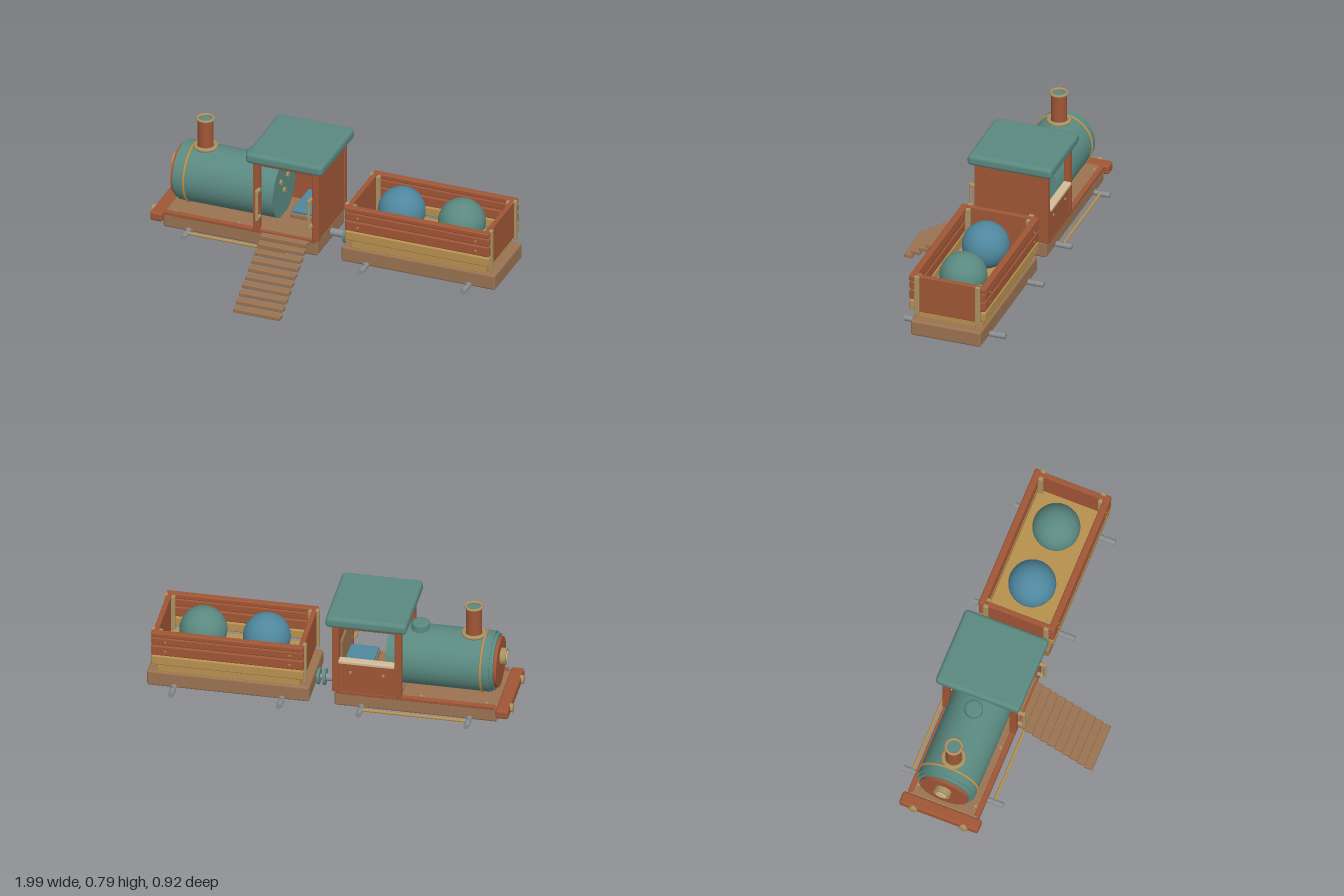
import * as THREE from 'three';
import { RoundedBoxGeometry } from 'three/addons/geometries/RoundedBoxGeometry.js';

const mat = (name, color) => {
  const m = new THREE.MeshStandardMaterial({ color });
  m.name = name;
  return m;
};

export function createModel() {
  const red = mat('red wood', 0xa05636);
  const teal = mat('teal paint', 0x5a8980);
  const brown = mat('brown wood', 0x9a7352);
  const gold = mat('yellow wood', 0xb8904f);
  const brass = mat('brass', 0xaa9262);
  const grey = mat('grey metal', 0x8a8e90);
  const blue = mat('blue paint', 0x4f879e);
  const cream = mat('cream wood', 0xd2bd9a);

  const Z = -0.17; // centre line of the train
  const model = new THREE.Group();
  model.name = 'toyTrain';
  const engine = new THREE.Group();
  engine.name = 'engine';
  const wagon = new THREE.Group();
  wagon.name = 'wagon';
  model.add(engine, wagon);

  const add = (parent, name, geo, material, x = 0, y = 0, z = 0) => {
    const m = new THREE.Mesh(geo, material);
    m.name = name;
    m.position.set(x, y, z);
    parent.add(m);
    return m;
  };
  // Rounded box given by its limits on each axis
  const box = (p, name, m, x0, x1, y0, y1, z0, z1, r = 0.005) =>
    add(p, name, new RoundedBoxGeometry(x1 - x0, y1 - y0, z1 - z0, 2, r), m,
      (x0 + x1) / 2, (y0 + y1) / 2, (z0 + z1) / 2);
  // Cylinder along an axis, centred at x, y, z
  const rod = (p, name, m, axis, r, len, x, y, z, seg = 32) => {
    const g = new THREE.CylinderGeometry(r, r, len, seg);
    if (axis === 'x') g.rotateZ(-Math.PI / 2);
    if (axis === 'z') g.rotateX(Math.PI / 2);
    return add(p, name, g, m, x, y, z);
  };
  // Solid of revolution from [radius, height] points
  const lathe = (pts) => new THREE.LatheGeometry(pts.map(([r, h]) => new THREE.Vector2(r, h)), 40);

  // Engine deck with side strips and front buffer
  box(engine, 'deck', brown, -0.92, -0.03, 0.187, 0.278, Z - 0.2, Z + 0.2, 0.012);
  for (const s of [-1, 1]) {
    box(engine, 'deckStrip', red, -0.91, -0.04, 0.265, 0.285, Z + s * 0.192 - 0.014, Z + s * 0.192 + 0.014, 0.004);
    rod(engine, 'bufferKnob', brass, 'x', 0.024, 0.025, -0.987, 0.255, Z + s * 0.145, 20);
    for (const x of [-0.86, -0.5]) rod(engine, 'deckScrew', brass, 'y', 0.008, 0.006, x, 0.28, Z + s * 0.165, 12);
  }
  box(engine, 'buffer', red, -0.987, -0.915, 0.226, 0.28, Z - 0.228, Z + 0.228, 0.014);

  // Boiler
  const by = 0.447;
  const boiler = add(engine, 'boiler', new THREE.CylinderGeometry(0.165, 0.165, 0.565, 48), teal, -0.585, by, Z - 0.003);
  boiler.rotation.z = Math.PI / 2;
  rod(engine, 'boilerRim', teal, 'x', 0.155, 0.02, -0.876, by, Z - 0.003, 48);
  rod(engine, 'boilerDoor', red, 'x', 0.139, 0.035, -0.886, by, Z - 0.003, 48);
  const band = add(engine, 'boilerBand', new THREE.TorusGeometry(0.165, 0.007, 8, 48), gold, -0.82, by, Z - 0.003);
  band.rotation.y = Math.PI / 2;
  rod(engine, 'lampBase', brass, 'x', 0.046, 0.035, -0.918, 0.485, Z - 0.003);
  rod(engine, 'lamp', cream, 'x', 0.03, 0.006, -0.937, 0.485, Z - 0.003);
  for (const [dy, dz] of [[0.06, 0.05], [0.06, -0.05], [-0.01, 0]])
    rod(engine, 'gauge', brass, 'x', 0.016, 0.012, -0.298, by + dy, Z + dz, 16);

  // Chimney and steam dome
  rod(engine, 'chimney', red, 'y', 0.043, 0.19, -0.755, 0.68, Z - 0.003);
  const ring = (name, r, t, y) => {
    const m = add(engine, name, new THREE.TorusGeometry(r, t, 10, 36), brass, -0.755, y, Z - 0.003);
    m.rotation.x = Math.PI / 2;
  };
  ring('chimneyRim', 0.043, 0.008, 0.781);
  ring('chimneyBase', 0.056, 0.012, 0.614);
  rod(engine, 'chimneyMouth', teal, 'y', 0.036, 0.004, -0.755, 0.775, Z - 0.003);
  add(engine, 'steamDome', lathe([[0.05, 0], [0.05, 0.045], [0.045, 0.053], [0.035, 0.055], [0, 0.055]]), teal, -0.465, 0.595, Z - 0.003);

  // Cab
  const cab = new THREE.Group();
  cab.name = 'cab';
  engine.add(cab);
  box(cab, 'floor', brown, -0.395, -0.03, 0.275, 0.292, Z - 0.195, Z + 0.195);
  for (const s of [-1, 1]) {
    for (const x of [-0.38, -0.038])
      box(cab, 'cornerPost', red, x - 0.019, x + 0.019, 0.28, 0.705, Z + s * 0.193 - 0.018, Z + s * 0.193 + 0.018);
    box(cab, 'header', red, -0.395, -0.025, 0.675, 0.705, Z + s * 0.19 - 0.014, Z + s * 0.19 + 0.014);
  }
  box(cab, 'frontHeader', red, -0.395, -0.365, 0.675, 0.705, Z - 0.19, Z + 0.19);
  box(cab, 'backWall', red, -0.05, -0.024, 0.28, 0.705, Z - 0.2, Z + 0.2);
  box(cab, 'sideWall', red, -0.395, -0.025, 0.28, 0.468, Z - 0.205, Z - 0.185);
  box(cab, 'windowSill', cream, -0.362, -0.056, 0.464, 0.484, Z - 0.22, Z - 0.175);
  box(cab, 'roof', teal, -0.432, 0.013, 0.697, 0.76, Z - 0.242, Z + 0.242, 0.022);
  for (const x of [-0.3, -0.12]) rod(cab, 'wallScrew', brass, 'z', 0.008, 0.008, x, 0.41, Z - 0.206, 12);
  box(cab, 'seat', brown, -0.22, -0.052, 0.345, 0.372, Z - 0.15, Z + 0.12);
  box(cab, 'cushion', blue, -0.215, -0.06, 0.37, 0.392, Z - 0.14, Z + 0.11, 0.008);
  box(cab, 'backrest', brown, -0.064, -0.05, 0.4, 0.56, Z - 0.14, Z + 0.11);

  // Grab handles beside the doorway
  for (const x of [-0.362, -0.062]) {
    rod(cab, 'grabHandle', brass, 'y', 0.009, 0.18, x, 0.455, 0.076, 14);
    for (const y of [0.372, 0.535]) box(cab, 'handleBracket', brass, x - 0.01, x + 0.01, y - 0.01, y + 0.01, 0.03, 0.082, 0.006);
  }

  // Stairs down to the ground
  for (let i = 0; i < 10; i++) {
    const z = 0.439 - i * 0.0432, y = 0.0145 + i * 0.0275;
    box(engine, 'step', brown, -0.345, -0.075, y - 0.0115, y + 0.0115, z - 0.024, z + 0.024, 0.004);
  }

  // Axles with pins, joined by rods on the engine
  for (const [p, x] of [[engine, -0.77], [engine, -0.18], [wagon, 0.255], [wagon, 0.845]]) {
    rod(p, 'axle', grey, 'z', 0.0155, 0.58, x, 0.196, Z, 20);
    for (const s of [-1, 1]) rod(p, 'axlePin', grey, 'y', 0.006, 0.046, x, 0.198, Z + s * 0.236, 10);
  }
  for (const s of [-1, 1]) rod(engine, 'couplingRod', gold, 'x', 0.008, 0.61, -0.475, 0.198, Z + s * 0.236, 12);

  // Coupling
  rod(model, 'drawbar', grey, 'x', 0.021, 0.1, 0.01, 0.235, Z - 0.003, 20);
  rod(model, 'link', grey, 'x', 0.014, 0.1, 0.075, 0.235, Z - 0.003, 20);
  for (const x of [0.058, 0.091]) rod(model, 'couplingDisc', teal, 'x', 0.045, 0.014, x, 0.235, Z - 0.003, 28);

  // Wagon base and floor
  box(wagon, 'base', brown, 0.107, 0.995, 0.187, 0.278, Z - 0.2, Z + 0.2, 0.012);
  box(wagon, 'floor', gold, 0.16, 0.94, 0.275, 0.322, Z - 0.19, Z + 0.19);

  // Wagon side planks, top rails and screws
  const planks = [[0.332, 0.388, gold], [0.392, 0.452, red], [0.457, 0.503, red], [0.506, 0.536, red]];
  for (const s of [-1, 1]) {
    planks.forEach(([y0, y1, m], i) => {
      const t = i === 3 ? 0.019 : 0.015, z = Z + s * 0.202;
      box(wagon, i === 3 ? 'topRail' : 'sidePlank', m, 0.135, 0.967, y0, y1, z - t, z + t, 0.008);
      if (i < 3) for (const x of [0.21, 0.89]) rod(wagon, 'plankScrew', brass, 'z', 0.006, 0.006, x, (y0 + y1) / 2, Z + s * 0.217, 12);
    });
  }

  // Wagon ends with corner posts inside and out
  for (const [x, d] of [[0.152, -1], [0.947, 1]]) {
    box(wagon, 'endPanel', red, x - 0.014, x + 0.014, 0.32, 0.537, Z - 0.188, Z + 0.188);
    for (const s of [-1, 1]) {
      const z = Z + s * 0.174;
      box(wagon, 'outerPost', brass, x + d * 0.017 - 0.01, x + d * 0.017 + 0.01, 0.306, 0.54, z - 0.014, z + 0.014, 0.004);
      box(wagon, 'innerPost', brass, x - d * 0.022 - 0.012, x - d * 0.022 + 0.012, 0.32, 0.53, z - 0.014, z + 0.014, 0.004);
    }
  }

  // Balls carried in the wagon
  for (const [x, m] of [[0.377, blue], [0.724, teal]])
    add(wagon, 'ball', new THREE.SphereGeometry(0.129, 40, 28), m, x, 0.454, Z - 0.003);

  return model;
}
